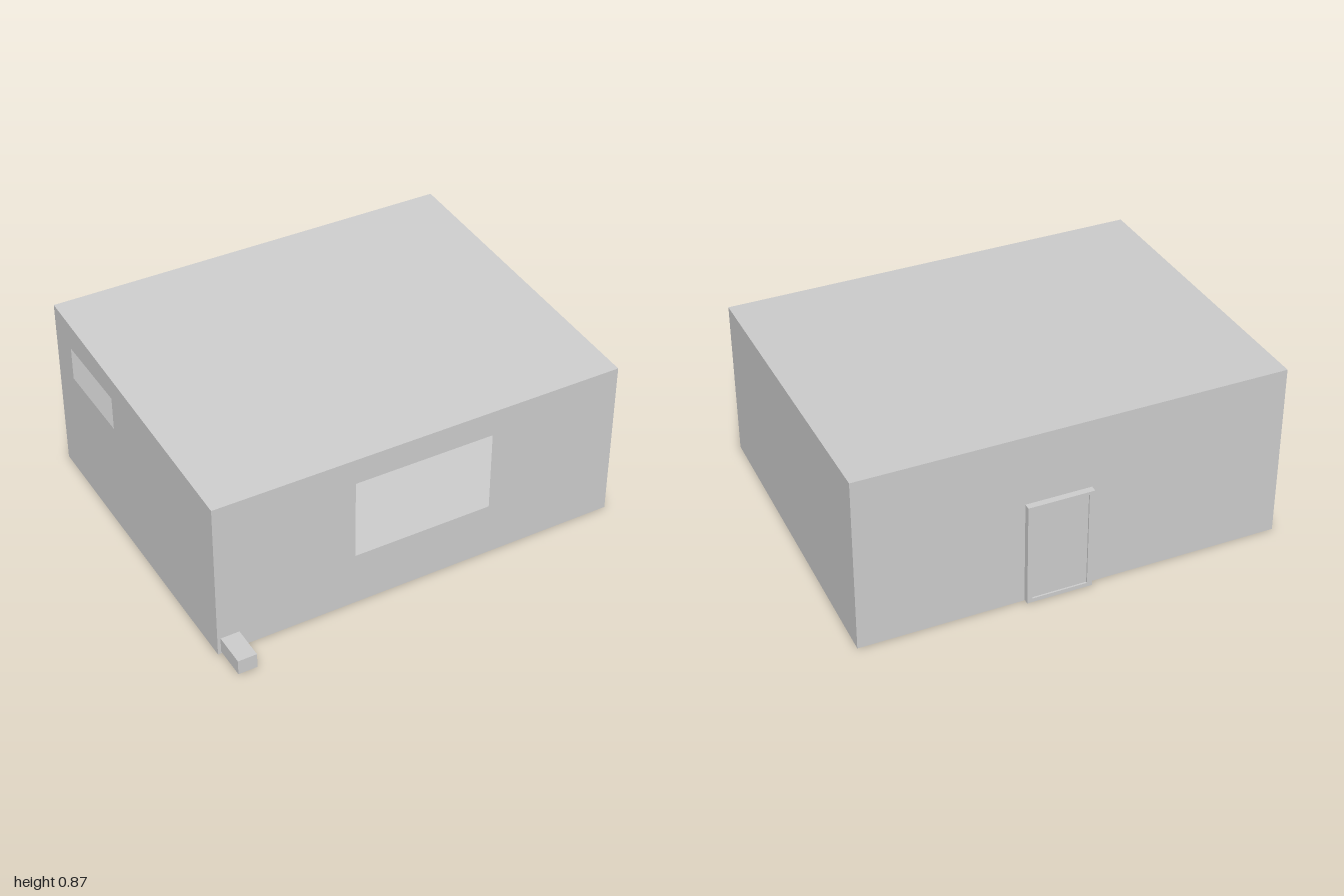
import * as THREE from 'three';

const FRONT = 0.72, BACK = -0.855;      // z of front and back walls
const LOW = 0.785, HIGH = 0.865;        // wall heights at front and back

const sheet = new THREE.MeshStandardMaterial({ color: 0xcccccc, side: THREE.DoubleSide, flatShading: true });
const solid = new THREE.MeshStandardMaterial({ color: 0xcccccc, flatShading: true });

function rectPoints(x0, x1, y0, y1) {
  return [[x0, y0], [x1, y0], [x1, y1], [x0, y1]].map(([x, y]) => new THREE.Vector2(x, y));
}

// Flat outline with optional rectangular openings [x0, x1, y0, y1]
function outline(points, openings = []) {
  const shape = new THREE.Shape(points);
  for (const o of openings) shape.holes.push(new THREE.Path(rectPoints(...o)));
  return shape;
}

function add(parent, name, geometry, material) {
  const mesh = new THREE.Mesh(geometry, material);
  mesh.name = name;
  parent.add(mesh);
  return mesh;
}

function addBox(parent, name, x0, x1, y0, y1, z0, z1) {
  const mesh = add(parent, name, new THREE.BoxGeometry(x1 - x0, y1 - y0, z1 - z0), solid);
  mesh.position.set((x0 + x1) / 2, (y0 + y1) / 2, (z0 + z1) / 2);
  return mesh;
}

export function createModel() {
  const model = new THREE.Group();
  model.name = 'building';

  // Thin front and back walls
  const frontWall = add(model, 'frontWall',
    new THREE.ShapeGeometry(outline(rectPoints(-1, 1, 0, LOW), [[-0.33, 0.35, 0.265, 0.66]])), sheet);
  frontWall.position.z = FRONT;
  const backWall = add(model, 'backWall',
    new THREE.ShapeGeometry(outline(rectPoints(-1, 1, 0, HIGH), [[-0.08, 0.23, 0.005, 0.52]])), sheet);
  backWall.rotation.y = 0;
  backWall.position.z = BACK;

  // Sloping side walls, the right one with a high window
  const sidePoints = [[BACK, 0], [FRONT, 0], [FRONT, LOW], [BACK, HIGH]].map(([z, y]) => new THREE.Vector2(z, y));
  for (const [name, x, openings] of [
    ['rightWall', -1, [[-0.69, -0.25, 0.56, 0.725]]],
    ['leftWall', 1, []],
  ]) {
    const wall = add(model, name, new THREE.ShapeGeometry(outline(sidePoints, openings)), sheet);
    wall.rotation.y = -Math.PI / 2;
    wall.position.x = x;
  }

  // Floor and sloping roof
  const depth = FRONT - BACK, middle = (FRONT + BACK) / 2;
  const floor = add(model, 'floor', new THREE.PlaneGeometry(2, depth), sheet);
  floor.rotation.x = -Math.PI / 2;
  floor.position.z = middle;
  const rise = HIGH - LOW;
  const roof = add(model, 'roof', new THREE.PlaneGeometry(2, Math.hypot(depth, rise)), sheet);
  roof.rotation.x = -Math.PI / 2 + Math.atan2(rise, depth);
  roof.position.set(0, (LOW + HIGH) / 2, middle);

  // Door in the back wall
  const door = new THREE.Group();
  door.name = 'door';
  model.add(door);
  const frame = add(door, 'doorFrame', new THREE.ExtrudeGeometry(
    outline(rectPoints(-0.08, 0.23, 0.005, 0.52), [[-0.055, 0.205, 0.025, 0.505]]),
    { depth: 0.03, bevelEnabled: false }), solid);
  frame.position.z = BACK - 0.03;
  addBox(door, 'doorLeaf', -0.055, 0.205, 0.025, 0.505, BACK - 0.022, BACK - 0.012);

  // Raised panels and handle on the inner face of the door
  for (const [y0, y1] of [[0.06, 0.21], [0.225, 0.375], [0.39, 0.475]]) {
    for (const [x0, x1] of [[-0.02, 0.065], [0.09, 0.175]]) {
      addBox(door, 'doorPanel', x0, x1, y0, y1, BACK - 0.012, BACK - 0.009);
    }
  }
  addBox(door, 'doorHandle', -0.045, -0.005, 0.27, 0.28, BACK - 0.012, BACK);

  // Low block projecting from the front corner
  addBox(model, 'cornerBlock', -0.985, -0.895, 0.012, 0.085, FRONT, 0.88);

  return model;
}
